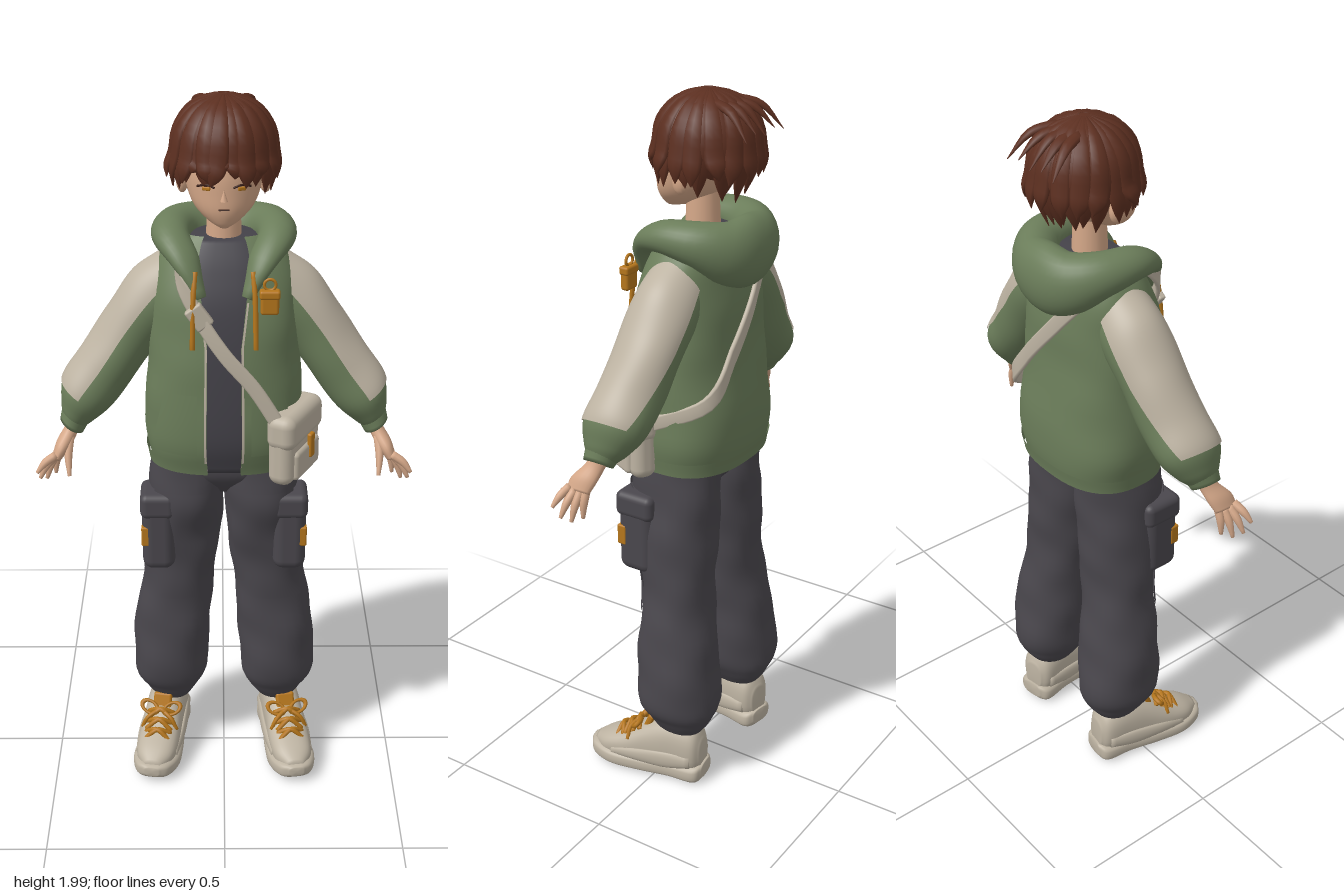
import * as THREE from 'three';
import { RoundedBoxGeometry } from 'three/addons/geometries/RoundedBoxGeometry.js';

const V = (x, y, z) => new THREE.Vector3(x, y, z);
const X = V(1, 0, 0), Y = V(0, 1, 0), Z = V(0, 0, 1);
const mat = (name, color) => {
  const m = new THREE.MeshStandardMaterial({ color, side: THREE.DoubleSide });
  m.name = name;
  return m;
};
const M = {
  green: mat('jacketGreen', 0x6b7d5a), cream: mat('cream', 0xbdb3a2), trouser: mat('trouserGrey', 0x4a474d),
  shirt: mat('shirtGrey', 0x444249), hair: mat('hairBrown', 0x5c2f20), skin: mat('skin', 0xd4a788),
  amber: mat('amber', 0xb5761c), dark: mat('lashBrown', 0x3a2019),
};

// Surface through stations [x, y, z, radiusU, radiusV]; fixed axes u, v, or swept along the path
function loft(st, { u, v, up = Y, seg = 28, rows = 6, p = 2, arc, t = [0, 1], off = 0, wave = 0 } = {}) {
  const path = new THREE.CatmullRomCurve3(st.map(s => V(s[0], s[1], s[2])), false, 'catmullrom');
  const size = new THREE.CatmullRomCurve3(st.map(s => V(s[3], s[4], 0)), false, 'catmullrom');
  const n = (st.length - 1) * rows, cols = arc ? seg + 1 : seg, pos = [], idx = [];
  let flip = false;
  const bend = c => Math.sign(c) * Math.abs(c) ** (2 / p);
  const tri = (a, b, c) => (flip ? idx.push(a, c, b) : idx.push(a, b, c));
  for (let i = 0; i <= n; i++) {
    const k = t[0] + (t[1] - t[0]) * i / n;
    const C = path.getPoint(k), R = size.getPoint(k), T = path.getTangent(k);
    const U = u ? u.clone() : up.clone().cross(T).normalize();
    const W = v ? v.clone() : T.clone().cross(U).normalize();
    if (i === 0) flip = U.clone().cross(W).dot(T) < 0;
    const [a0, a1] = arc ? arc(k) : [0, Math.PI * 2];
    for (let j = 0; j < cols; j++) {
      const a = a0 + (a1 - a0) * j / seg;
      const f = 1 + wave * (Math.sin(3 * a + 26 * C.y) + 0.6 * Math.sin(2 * a - 45 * C.y));
      const q = C.clone()
        .addScaledVector(U, (Math.max(R.x, 0.001) * f + off) * bend(Math.cos(a)))
        .addScaledVector(W, (Math.max(R.y, 0.001) * f + off) * bend(Math.sin(a)));
      pos.push(q.x, q.y, q.z);
    }
  }
  for (let i = 0; i < n; i++) for (let j = 0; j < seg; j++) {
    const a = i * cols + j, b = i * cols + (j + 1) % cols;
    tri(a, b, a + cols);
    tri(b, b + cols, a + cols);
  }
  if (!arc) for (const end of [0, n]) {
    const c = pos.length / 3, P = path.getPoint(t[end ? 1 : 0]);
    pos.push(P.x, P.y, P.z);
    for (let j = 0; j < seg; j++) {
      const a = end * cols + j, b = end * cols + (j + 1) % seg;
      end ? tri(c, a, b) : tri(c, b, a);
    }
  }
  const g = new THREE.BufferGeometry();
  g.setAttribute('position', new THREE.Float32BufferAttribute(pos, 3));
  g.setIndex(idx);
  g.computeVertexNormals();
  return g;
}
const mir = (st, s) => st.map(([x, ...r]) => [s * x, ...r]);
const cord = (pts, r, h = r) => loft(pts.map(q => [...q, r, h]), { seg: 8, rows: 5 });
const box = (w, h, d, r = 0.012) => new RoundedBoxGeometry(w, h, d, 3, r);

function add(parent, name, geo, material, x = 0, y = 0, z = 0) {
  const m = new THREE.Mesh(geo, material);
  m.name = name;
  m.position.set(x, y, z);
  parent.add(m);
  return m;
}

function buildHead(g) {
  add(g, 'face', loft([[0, 1.675, 0.07, 0.012, 0.012], [0, 1.69, 0.045, 0.042, 0.048], [0, 1.72, 0.022, 0.075, 0.08],
    [0, 1.76, 0, 0.095, 0.103], [0, 1.82, -0.02, 0.106, 0.12], [0, 1.9, -0.03, 0.1, 0.11], [0, 1.95, -0.03, 0.05, 0.06]],
  { u: X, v: Z }), M.skin);
  add(g, 'neck', new THREE.CylinderGeometry(0.042, 0.05, 0.18, 20), M.skin, 0, 1.65, -0.025);
  add(g, 'nose', new THREE.ConeGeometry(0.01, 0.03, 10), M.skin, 0, 1.768, 0.105);
  add(g, 'mouth', box(0.028, 0.004, 0.006, 0.002), M.dark, 0, 1.73, 0.104);
  for (const s of [1, -1]) {
    add(g, 'ear', new THREE.SphereGeometry(1, 14, 10), M.skin, s * 0.108, 1.77, -0.025).scale.set(0.016, 0.032, 0.022);
    add(g, 'eyelash', cord([[s * 0.024, 1.787, 0.102], [s * 0.045, 1.793, 0.095], [s * 0.068, 1.786, 0.079]], 0.003), M.dark);
    add(g, 'iris', box(0.022, 0.01, 0.006, 0.003), M.amber, s * 0.045, 1.783, 0.094).rotation.y = s * 0.4;
  }
}

function buildHair(g) {
  let seed = 7;
  const rnd = () => (seed = (seed * 16807) % 2147483647) / 2147483647;
  const C = V(0, 1.86, -0.042), R = V(0.128, 0.13, 0.133);
  const cap = new THREE.SphereGeometry(1, 32, 20, 0, Math.PI * 2, 0, Math.PI * 0.6).rotateX(-0.5);
  add(g, 'hairCap', cap.scale(R.x, R.y, R.z), M.hair, C.x, C.y, C.z);
  // Two layers of tapering locks falling from the crown
  for (const [count, grow, over] of [[24, 1, 0], [17, 1.04, 1]]) for (let i = 0; i < count; i++) {
    const a = (i + 0.5 * rnd()) / count * Math.PI * 2, ca = Math.cos(a), sa = Math.sin(a);
    const at = (k, y, da = 0) => [C.x + Math.cos(a + da) * R.x * k * grow, y, C.z + Math.sin(a + da) * R.z * k * grow];
    const front = sa > 0.6, back = sa < -0.2;
    const tip = (front ? 1.765 + 0.04 * rnd() : back ? 1.712 + 0.055 * over : 1.742 + 0.03 * over) + 0.025 * rnd();
    const end = front ? 1.06 + 0.04 * rnd() : back ? 0.7 + 0.3 * over + 0.08 * rnd() : 1.04 + 0.14 * rnd() * over;
    const swing = (rnd() - 0.5) * 0.36, mid = (1.02 + end) / 2 + 0.03;
    const st = [[...at(0.1, 1.987), 0.006, 0.006], [...at(0.6, 1.962), 0.019, 0.009], [...at(0.92, 1.91, swing * 0.1), 0.026, 0.011],
      [...at(1.01, 1.85, swing * 0.3), 0.028, 0.011], [...at(mid, (1.85 + tip) / 2, swing * 0.6), 0.023, 0.009],
      [...at(end, tip, swing), 0.001, 0.001]];
    add(g, 'hairLock', loft(st, { up: V(ca, 0.6, sa), seg: 8, rows: 3 }), M.hair);
  }
  // Loose flicks at the back of the crown
  for (let i = 0; i < 5; i++) {
    const x = (i - 2) * 0.035;
    add(g, 'hairFlick', loft([[x * 0.6, 1.965, -0.09, 0.018, 0.012], [x, 1.95, -0.155, 0.015, 0.009],
      [x * 1.3, 1.89 + 0.012 * (i % 2), -0.208, 0.001, 0.001]], { seg: 8, rows: 4 }), M.hair);
  }
}

function buildJacket(g) {
  const st = [[0, 0.99, -0.02, 0.203, 0.15], [0, 1.1, -0.015, 0.217, 0.17], [0, 1.3, -0.008, 0.206, 0.155],
    [0, 1.45, -0.015, 0.198, 0.14], [0, 1.55, -0.025, 0.183, 0.115], [0, 1.62, -0.03, 0.135, 0.085], [0, 1.66, -0.03, 0.07, 0.06]];
  const o = { u: X, v: Z, p: 2.5, seg: 56 };
  const gap = k => 0.15 + 0.5 * Math.max(0, k - 0.4);
  const open = k => [Math.PI / 2 + gap(k), Math.PI * 2.5 - gap(k)];
  add(g, 'shirt', loft(st, { ...o, off: -0.01, t: [0, 0.86] }), M.shirt);
  add(g, 'jacketBody', loft(st, { ...o, arc: open, t: [0, 0.9], wave: 0.008 }), M.green);
  add(g, 'jacketHem', loft(st, { ...o, arc: open, t: [0, 0.07], off: 0.005 }), M.green);
  for (const s of [1, -1]) {
    const side = (a, b) => k => [Math.PI / 2 + s * a, Math.PI / 2 + s * b];
    add(g, 'jacketPocket', loft(st, { ...o, t: [0.11, 0.28], off: 0.008,
      arc: k => side(0.25, 0.95 - 1.8 * Math.max(0, k - 0.16))(k) }), M.green);
    add(g, 'zipTape', loft(st, { ...o, seg: 2, arc: k => side(gap(k), gap(k) + 0.025)(k), t: [0, 0.55], off: 0.004 }), M.cream);
    add(g, 'drawstring', cord([[s * 0.075, 1.57, 0.115], [s * 0.08, 1.5, 0.14], [s * 0.083, 1.37, 0.155]], 0.007), M.amber);
  }
  // Hood lying round the neck and hanging at the back
  const half = [[0.06, 1.5, 0.122, 0.016, 0.014], [0.098, 1.585, 0.085, 0.04, 0.026], [0.138, 1.63, 0.01, 0.05, 0.042],
    [0.125, 1.622, -0.085, 0.058, 0.06], [0.07, 1.595, -0.142, 0.064, 0.084], [0, 1.586, -0.158, 0.062, 0.096]];
  add(g, 'hood', loft([...half, ...mir(half.slice(0, -1), -1).reverse()], { rows: 5 }), M.green);
  // Small pouch hanging on the chest
  add(g, 'chestPouch', box(0.048, 0.06, 0.025, 0.008), M.amber, 0.118, 1.49, 0.132);
  add(g, 'chestPouchFlap', box(0.054, 0.024, 0.03, 0.007), M.amber, 0.118, 1.515, 0.132);
  add(g, 'chestPouchRing', new THREE.TorusGeometry(0.015, 0.004, 8, 18), M.amber, 0.118, 1.54, 0.13);
}

function buildArm(g, s) {
  const st = mir([[0.1, 1.535, -0.03, 0.075, 0.075], [0.17, 1.463, -0.03, 0.093, 0.086], [0.245, 1.37, -0.025, 0.083, 0.088],
    [0.318, 1.262, -0.012, 0.081, 0.088], [0.375, 1.187, 0, 0.077, 0.088], [0.402, 1.135, 0.01, 0.054, 0.062],
    [0.413, 1.108, 0.018, 0.036, 0.042]], s);
  const o = { u: V(s * 0.83, 0.55, 0), v: Z, wave: 0.014 };
  add(g, 'sleeve', loft(st, o), M.green);
  add(g, 'sleeveStripe', loft(st, { ...o, arc: k => [-1.35 + 1.5 * Math.max(0, k - 0.35), 1.35], t: [0, 0.68], off: 0.004 }), M.cream);
  add(g, 'cuff', loft(mir([[0.402, 1.138, 0.012, 0.046, 0.052], [0.419, 1.094, 0.025, 0.037, 0.042]], s), o), M.green);
  // Hand with spread fingers
  add(g, 'palm', loft(mir([[0.405, 1.13, 0.015, 0.02, 0.024], [0.42, 1.085, 0.035, 0.02, 0.028],
    [0.442, 1.05, 0.055, 0.02, 0.038], [0.458, 1.02, 0.065, 0.015, 0.035]], s), { u: o.u, v: Z, seg: 18 }), M.skin);
  const fingers = [[0.46, 1.03, 0.088, 0.512, 0.985, 0.108], [0.46, 1.025, 0.072, 0.507, 0.958, 0.086],
    [0.456, 1.025, 0.056, 0.491, 0.946, 0.063], [0.45, 1.03, 0.042, 0.468, 0.953, 0.042], [0.422, 1.07, 0.055, 0.424, 0.975, 0.108]];
  for (const [a, b, c, d, e, f] of fingers) {
    add(g, 'finger', loft(mir([[a, b, c, 0.012, 0.012], [(a + d) / 2 + 0.004, (b + e) / 2 + 0.004, (c + f) / 2, 0.011, 0.011],
      [d, e, f, 0.005, 0.005]], s), { seg: 10, rows: 4 }), M.skin);
  }
}

function buildLeg(g, s) {
  const st = mir([[0.1, 1.03, -0.012, 0.1, 0.12], [0.105, 0.9, -0.008, 0.106, 0.126], [0.118, 0.75, -0.022, 0.109, 0.11],
    [0.131, 0.6, -0.032, 0.103, 0.098], [0.152, 0.43, -0.042, 0.111, 0.112], [0.16, 0.27, -0.05, 0.109, 0.12],
    [0.158, 0.205, -0.055, 0.085, 0.096], [0.158, 0.165, -0.055, 0.062, 0.072]], s);
  const o = { u: X, v: Z, p: 2.2, wave: 0.02 };
  add(g, 'trouserLeg', loft(st, o), M.trouser);
  add(g, 'kneePanel', loft(st, { ...o, off: 0.005, t: [0.12, 0.47], arc: () => [Math.PI / 2 - 0.9, Math.PI / 2 + 0.9] }), M.trouser);
  // Cargo pocket
  add(g, 'cargoPocket', box(0.092, 0.23, 0.112, 0.03), M.trouser, s * 0.184, 0.785, 0.055);
  add(g, 'cargoFlap', box(0.098, 0.075, 0.12, 0.02), M.trouser, s * 0.185, 0.875, 0.056);
  add(g, 'cargoTab', box(0.024, 0.06, 0.028, 0.005), M.amber, s * 0.22, 0.78, 0.094);
}

function buildShoe(g, s) {
  const shoe = new THREE.Group();
  shoe.name = 'shoe';
  shoe.position.set(s * 0.18, 0, 0);
  shoe.rotation.y = s * 0.16;
  g.add(shoe);
  add(shoe, 'sole', loft([[0, 0.038, -0.143, 0.032, 0.022], [0, 0.03, -0.12, 0.057, 0.03], [0, 0.028, -0.04, 0.056, 0.028],
    [0, 0.028, 0.05, 0.066, 0.028], [0, 0.03, 0.14, 0.07, 0.028], [0, 0.036, 0.2, 0.05, 0.025], [0, 0.042, 0.222, 0.02, 0.014]],
  { u: X, v: Y, p: 3.2 }), M.cream);
  add(shoe, 'upper', loft([[0, 0.09, -0.135, 0.03, 0.045], [0, 0.1, -0.11, 0.053, 0.075], [0, 0.105, -0.04, 0.057, 0.083],
    [0, 0.088, 0.03, 0.059, 0.075], [0, 0.07, 0.1, 0.062, 0.052], [0, 0.058, 0.165, 0.054, 0.036], [0, 0.05, 0.208, 0.024, 0.018]],
  { u: X, v: Y, p: 2.4 }), M.cream);
  for (const e of [1, -1]) {
    add(shoe, 'sidePanel', loft([[e * 0.049, 0.075, -0.11, 0.01, 0.02], [e * 0.058, 0.07, -0.03, 0.009, 0.026],
      [e * 0.061, 0.065, 0.06, 0.009, 0.02], [e * 0.055, 0.055, 0.14, 0.008, 0.012]], { u: X, v: Y, seg: 14 }), M.cream);
    const bow = add(shoe, 'laceLoop', new THREE.TorusGeometry(0.026, 0.007, 8, 18), M.amber, e * 0.034, 0.16, 0.062);
    bow.rotation.set(-0.7, 0, e * 0.5);
    bow.scale.y = 0.65;
    add(shoe, 'laceEnd', cord([[0, 0.16, 0.065], [e * 0.035, 0.14, 0.085], [e * 0.052, 0.105, 0.088]], 0.006), M.amber);
    for (let i = 0; i < 3; i++) {
      const y = 0.15 - i * 0.018, z = 0.055 + i * 0.027;
      add(shoe, 'lace', cord([[-e * 0.038, y - 0.01, z], [0, y + 0.01, z + 0.014], [e * 0.038, y - 0.022, z + 0.022]], 0.007), M.amber);
    }
  }
  add(shoe, 'tongue', box(0.055, 0.05, 0.02, 0.008), M.amber, 0, 0.165, 0.03).rotation.x = -0.4;
}

function buildBag(g) {
  const bag = new THREE.Group();
  bag.name = 'shoulderBag';
  bag.position.set(0.19, 1.078, 0.09);
  bag.rotation.y = 1.1;
  g.add(bag);
  add(bag, 'bagBody', box(0.21, 0.2, 0.072, 0.03), M.cream);
  add(bag, 'bagFlap', box(0.218, 0.1, 0.084, 0.03), M.cream, 0, 0.056, 0.002);
  add(bag, 'bagPocket', box(0.15, 0.085, 0.03, 0.014), M.cream, 0, -0.045, 0.032);
  add(bag, 'bagTab', box(0.026, 0.07, 0.014, 0.005), M.amber, 0.012, -0.01, 0.046);
  // Strap over the shoulder and across front and back
  const path = [[0.148, 1.15, 0.165], [0.08, 1.26, 0.163], [0, 1.355, 0.156], [-0.07, 1.46, 0.135], [-0.118, 1.56, 0.098],
    [-0.115, 1.625, 0], [-0.115, 1.57, -0.13], [-0.03, 1.46, -0.167], [0.08, 1.33, -0.173], [0.17, 1.21, -0.15], [0.222, 1.13, 0.01]];
  add(g, 'strap', loft(path.map(q => [...q, 0.007, 0.02]), { seg: 12, rows: 6, p: 4 }), M.cream);
  add(g, 'strapBuckle', box(0.05, 0.065, 0.022, 0.006), M.cream, -0.065, 1.455, 0.14).rotation.z = 0.62;
}

export function createModel() {
  const g = new THREE.Group();
  g.name = 'character';
  buildHead(g);
  buildHair(g);
  buildJacket(g);
  add(g, 'trouserHips', loft([[0, 0.895, -0.01, 0.04, 0.06], [0, 0.96, -0.012, 0.185, 0.116], [0, 1.04, -0.015, 0.185, 0.125]],
    { u: X, v: Z, p: 2.5 }), M.trouser);
  for (const s of [1, -1]) {
    buildArm(g, s);
    buildLeg(g, s);
    buildShoe(g, s);
  }
  buildBag(g);
  return g;
}
